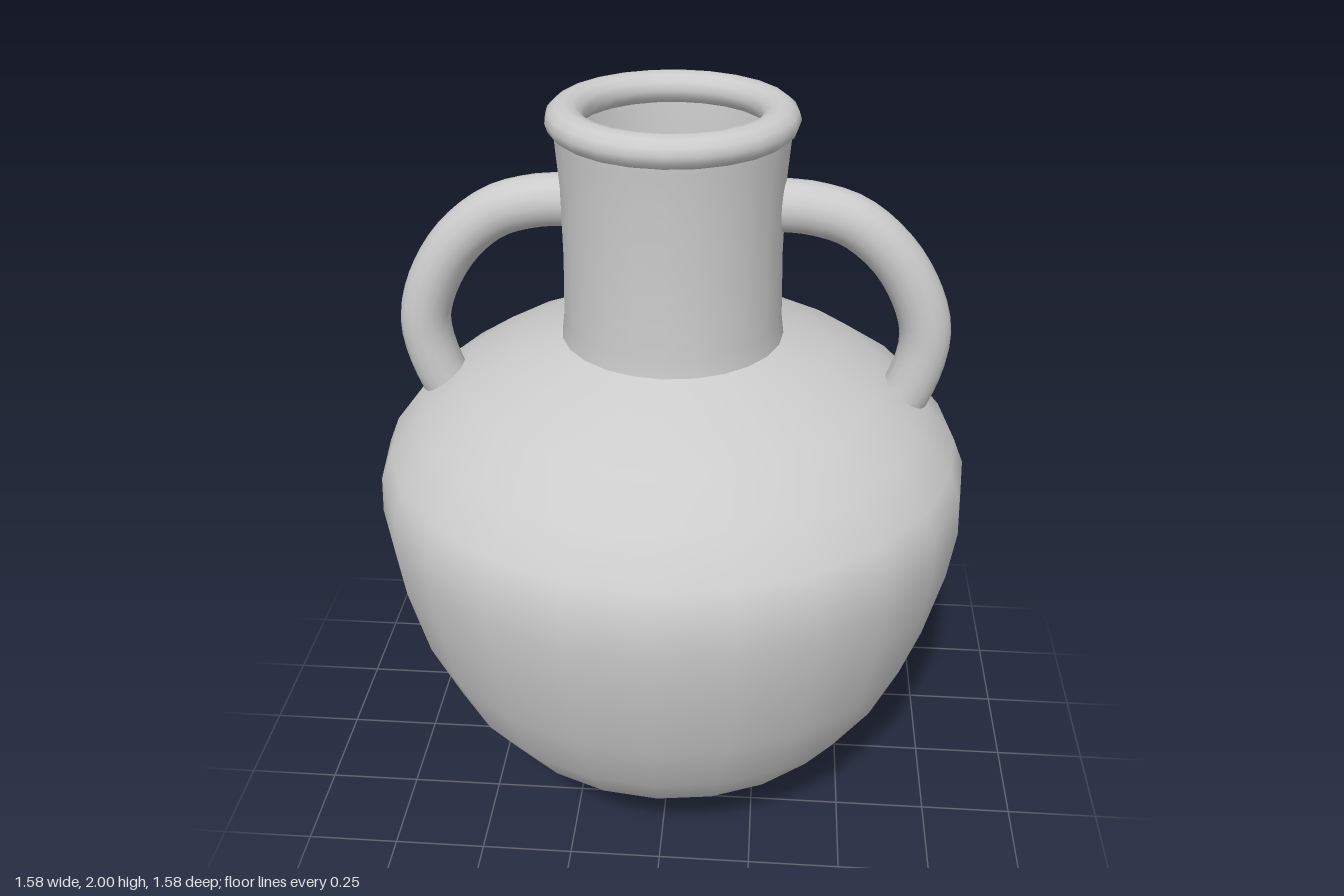
import * as THREE from 'three';

const SIDES = 24;
const material = new THREE.MeshStandardMaterial({ color: 0xcccccc, side: THREE.DoubleSide });

function addPart(group, name, geometry) {
  const mesh = new THREE.Mesh(geometry, material);
  mesh.name = name;
  group.add(mesh);
  return mesh;
}

// Smooth surface of revolution from [radius, height] pairs
function turned(points) {
  return new THREE.LatheGeometry(points.map(([r, y]) => new THREE.Vector2(r, y)), SIDES);
}

export function createModel() {
  const vase = new THREE.Group();
  vase.name = 'twoHandledVase';

  // Flat underside, which also closes the hollow inside
  const base = addPart(vase, 'base', new THREE.CircleGeometry(0.27, SIDES));
  base.rotation.x = Math.PI / 2;

  // Swelling body from the foot to the shoulder
  addPart(vase, 'body', turned([
    [0.27, 0], [0.285, 0.015], [0.36, 0.1], [0.46, 0.19], [0.56, 0.28],
    [0.65, 0.41], [0.725, 0.59], [0.772, 0.79], [0.79, 0.93], [0.784, 1.03],
    [0.755, 1.1], [0.67, 1.205], [0.55, 1.287], [0.42, 1.35], [0.285, 1.4],
  ]));

  // Neck, slightly waisted
  addPart(vase, 'neck', turned([
    [0.288, 1.395], [0.281, 1.45], [0.277, 1.62], [0.279, 1.8], [0.287, 1.9], [0.29, 1.95],
  ]));

  // Rolled lip around the open mouth
  const rim = addPart(vase, 'rim', new THREE.TorusGeometry(0.262, 0.0475, 12, SIDES));
  rim.rotation.x = Math.PI / 2;
  rim.scale.z = 0.85;
  rim.position.y = 1.96;

  // Curved handles from the neck down into the shoulder
  for (const [name, side] of [['leftHandle', 1], ['rightHandle', -1]]) {
    const path = new THREE.CatmullRomCurve3([
      [0.265, 1.745], [0.34, 1.74], [0.455, 1.705], [0.575, 1.595],
      [0.65, 1.42], [0.622, 1.26], [0.56, 1.15],
    ].map(([x, y]) => new THREE.Vector3(side * x, y, 0)));
    addPart(vase, name, new THREE.TubeGeometry(path, 24, 0.066, 16));
  }

  return vase;
}
